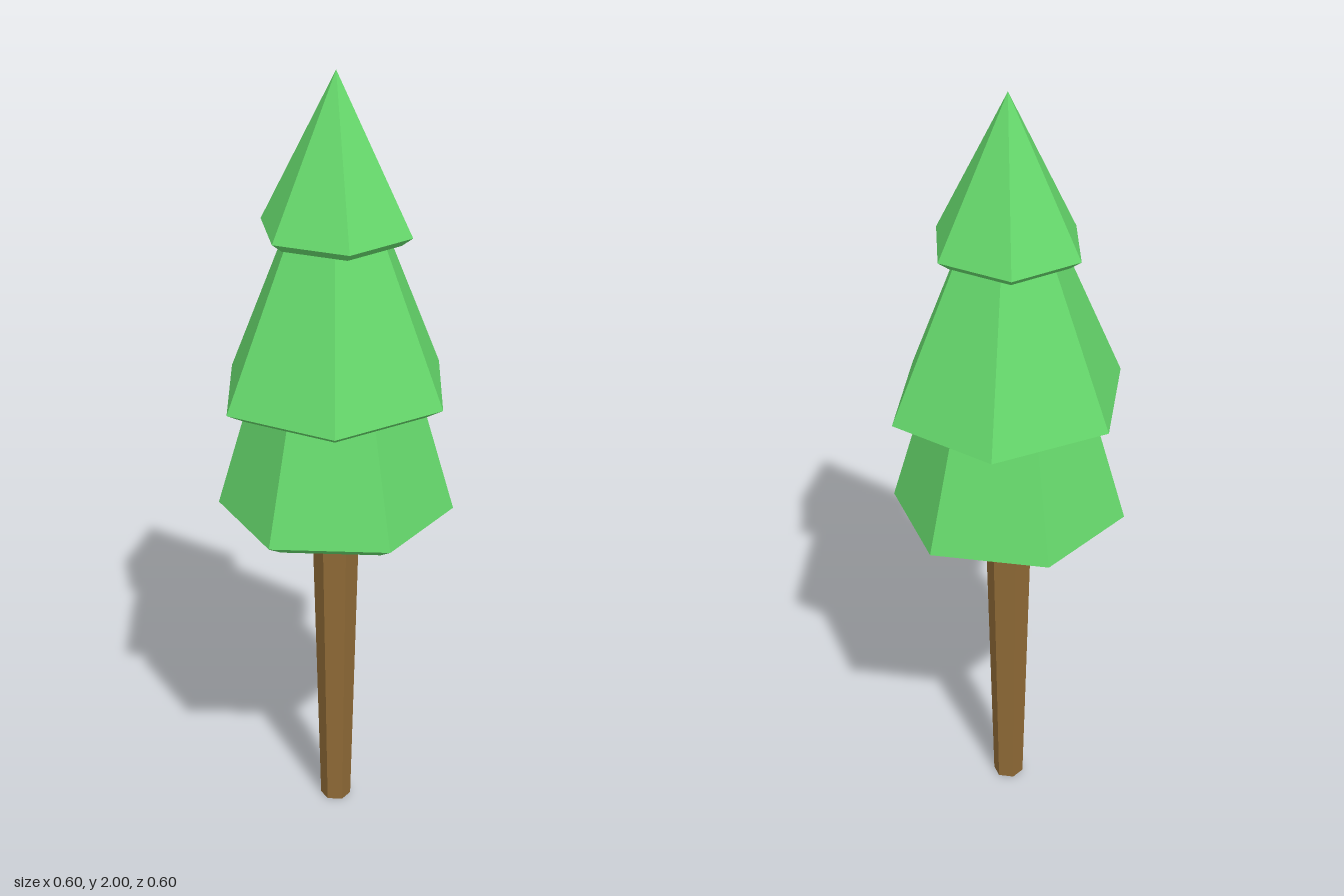
import * as THREE from 'three';

const SIDES = 6;

// Six-sided solid turned from [radius, height] pairs, listed bottom to top
function hexSolid(name, profile, material, phase = 0) {
  const points = profile.map(([r, y]) => new THREE.Vector2(r, y));
  const mesh = new THREE.Mesh(new THREE.LatheGeometry(points, SIDES, phase), material);
  mesh.name = name;
  return mesh;
}

export function createModel() {
  const tree = new THREE.Group();
  tree.name = 'pineTree';
  const leaf = new THREE.MeshStandardMaterial({ color: 0x66d96c, flatShading: true });
  const bark = new THREE.MeshStandardMaterial({ color: 0x8f6a36, flatShading: true });

  // Trunk, wider towards the foliage
  const trunk = hexSolid('trunk', [[0, 0], [0.039, 0], [0.061, 0.85], [0, 0.85]], bark);
  trunk.position.x = 0.003;
  tree.add(trunk);

  // Foliage tiers: unit-radius profiles with a bevelled underside, scaled and turned
  const tiers = [
    { name: 'lowerFoliage', base: 0.83, rim: 0.86, top: 1.19, topR: 0.69, under: 0.83,
      sx: 0.298, sz: 0.298, turn: 0, phase: 0, x: 0.003, z: 0 },
    { name: 'middleFoliage', base: 1.155, rim: 1.183, top: 1.61, topR: 0.42, under: 0.84,
      sx: 0.299, sz: 0.321, turn: 0.085, phase: Math.PI / 2, x: 0, z: -0.003 },
    { name: 'upperFoliage', base: 1.582, rim: 1.605, top: 2, topR: 0, under: 0.85,
      sx: 0.198, sz: 0.191, turn: 0.21, phase: Math.PI / 2, x: 0.004, z: 0 },
  ];
  for (const t of tiers) {
    const profile = [[0, t.base], [t.under, t.base], [1, t.rim], [t.topR, t.top]];
    if (t.topR > 0) profile.push([0, t.top]);
    const tier = hexSolid(t.name, profile, leaf, t.phase);
    tier.scale.set(t.sx, 1, t.sz);
    tier.rotation.y = t.turn;
    tier.position.set(t.x, 0, t.z);
    tree.add(tier);
  }
  return tree;
}
